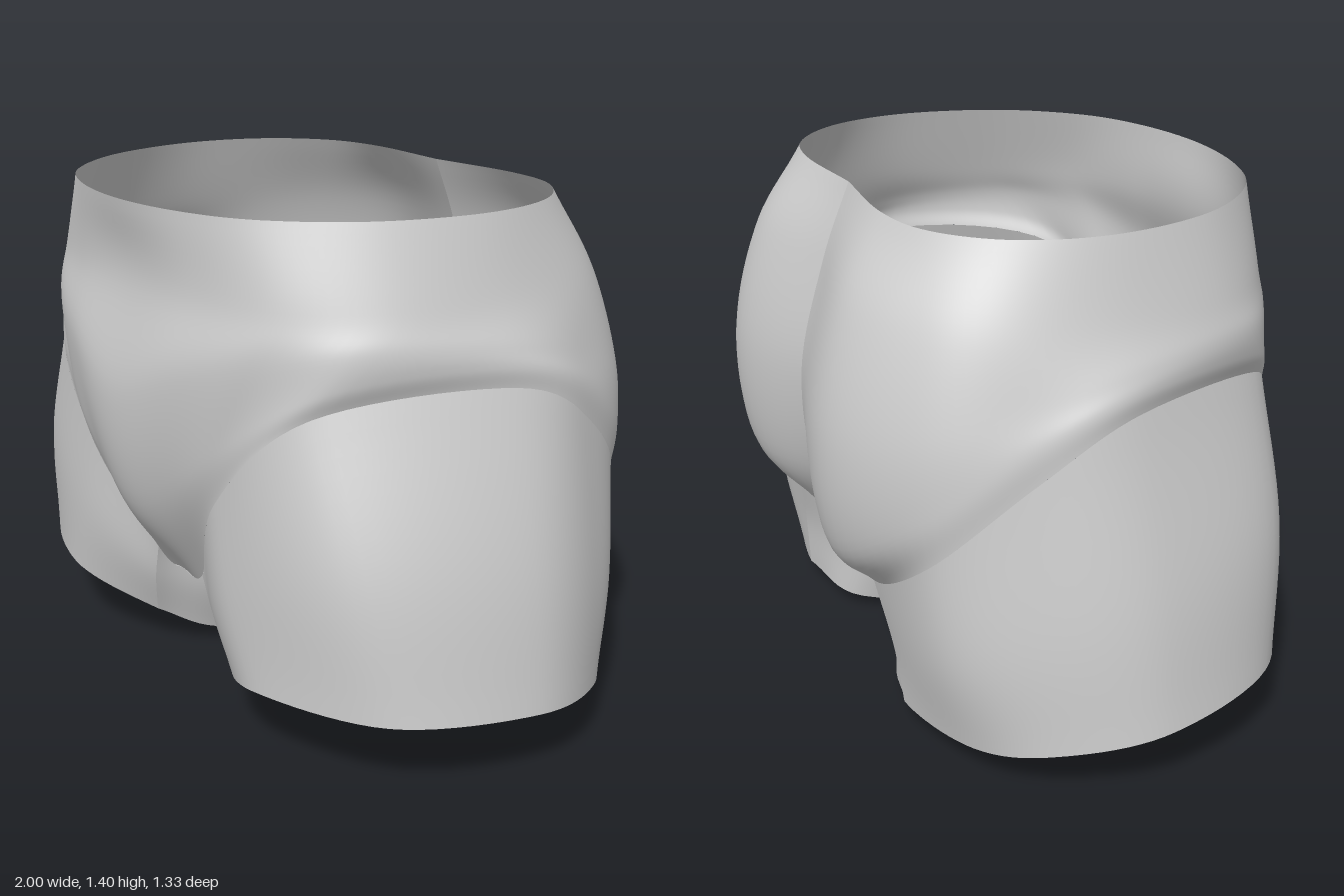
import * as THREE from 'three';

const grey = new THREE.MeshStandardMaterial({ color: 0xcccccc, side: THREE.DoubleSide });
grey.name = 'plain grey';

const spline = (pts) => new THREE.CatmullRomCurve3(pts, false, 'catmullrom', 0.5);
const toPoints = (row) => row.map((p) => new THREE.Vector3(...p));
const mirrorRow = (row) => row.map(([x, y, z]) => [-x, y, z]).reverse();

// Smooth sheet through rows of section points, sampled from u0 to u1 along each row
function loft(name, rows, nu, nv, u0 = 0, u1 = 1) {
  const curves = rows.map((r) => spline(toPoints(r)));
  const pos = [], index = [];
  for (let j = 0; j <= nu; j++) {
    const u = u0 + ((u1 - u0) * j) / nu;
    const column = spline(curves.map((c) => c.getPoint(u)));
    for (let i = 0; i <= nv; i++) pos.push(...column.getPoint(i / nv).toArray());
  }
  for (let j = 0; j < nu; j++) {
    for (let i = 0; i < nv; i++) {
      const a = j * (nv + 1) + i, b = a + 1, c = a + nv + 1, d = c + 1;
      index.push(a, b, c, c, b, d);
    }
  }
  const geo = new THREE.BufferGeometry();
  geo.setAttribute('position', new THREE.Float32BufferAttribute(pos, 3));
  geo.setIndex(index);
  geo.computeVertexNormals();
  const mesh = new THREE.Mesh(geo, grey);
  mesh.name = name;
  return mesh;
}

export function createModel() {
  const model = new THREE.Group();
  model.name = 'hipsAndThighs';

  // Half sections, each from the front midline around the side to the back midline
  const waist = [[0, 0.625], [0.25, 0.59], [0.46, 0.49], [0.63, 0.28], [0.7, 0], [0.65, -0.24],
    [0.5, -0.4], [0.3, -0.45], [0, -0.43]].map(([x, z]) => [x, 1.405, z]);
  const upperHip = [[0, 0.6], [0.28, 0.585], [0.53, 0.5], [0.7, 0.3], [0.765, 0], [0.725, -0.29],
    [0.6, -0.47], [0.36, -0.58], [0, -0.51]].map(([x, z]) => [x, 1.2, z]);
  const hip = [[0, 0.9, 0.665], [0.25, 0.98, 0.635], [0.49, 1.06, 0.55], [0.7, 1.11, 0.37], [0.815, 1.1, 0],
    [0.785, 1.03, -0.28], [0.67, 0.95, -0.51], [0.39, 0.88, -0.66], [0, 0.9, -0.585]];
  const lowerHip = [[0, 0.58, 0.62], [0.16, 0.64, 0.605], [0.38, 0.82, 0.58], [0.66, 1.02, 0.435], [0.832, 1.05, 0],
    [0.815, 0.94, -0.28], [0.69, 0.75, -0.51], [0.38, 0.56, -0.635], [0, 0.6, -0.56]];
  const seam = [[0, 0.34, 0.46], [0.12, 0.365, 0.47], [0.34, 0.67, 0.56], [0.62, 0.95, 0.465], [0.828, 1, 0],
    [0.822, 0.86, -0.27], [0.68, 0.62, -0.49], [0.32, 0.4, -0.51], [0, 0.39, -0.44]];

  // Pelvis shell, open at the waist, pointed at the front and cleft at the back
  const pelvisRows = [waist, upperHip, hip, lowerHip, seam]
    .map((r) => [...mirrorRow(r).slice(0, -1), ...r]);
  model.add(loft('pelvis', pelvisRows, 128, 32));

  // Thigh sections below the seam
  const midThigh = [[0.08, 0.2, 0.36], [0.16, 0.25, 0.46], [0.4, 0.43, 0.565], [0.77, 0.58, 0.455], [0.945, 0.56, 0.02],
    [0.88, 0.45, -0.28], [0.715, 0.34, -0.46], [0.39, 0.23, -0.485], [0.15, 0.22, -0.4]];
  const hem = [[0.13, 0.05, 0.28], [0.21, 0.12, 0.43], [0.49, 0.205, 0.555], [0.86, 0.22, 0.4], [1, 0.2, 0.03],
    [0.91, 0.15, -0.25], [0.73, 0.1, -0.4], [0.42, 0.065, -0.47], [0.2, 0.05, -0.41]];
  const thighRows = [seam, midThigh, hem];

  // Inner thigh sections, from back to front
  const crotchEdge = [seam[7], [0.13, 0.36, -0.36], [0.07, 0.34, 0], [0.075, 0.34, 0.29], seam[1]];
  const innerMid = [midThigh[7], [0.14, 0.2, -0.35], [0.085, 0.18, 0], [0.085, 0.2, 0.29], midThigh[1]];
  const innerHem = [hem[7], [0.19, 0.04, -0.38], [0.12, 0, 0], [0.13, 0.05, 0.28], hem[1]];
  const innerRows = [crotchEdge, innerMid, innerHem];

  for (const side of ['left', 'right']) {
    const place = side === 'left' ? (r) => r : mirrorRow;
    const thigh = new THREE.Group();
    thigh.name = side + 'Thigh';
    thigh.add(loft(side + 'OuterThigh', thighRows.map(place), 60, 16, 1 / 8, 7 / 8));
    thigh.add(loft(side + 'InnerThigh', innerRows.map(place), 32, 16));
    model.add(thigh);
  }

  // Narrow strip between the thighs, its ends following the pelvis edge
  const pelvisEdge = spline(toPoints(pelvisRows[4]));
  const crotchMiddle = [[0, 0.365, -0.32], [0, 0.345, 0], [0, 0.335, 0.27]];
  const stripRows = [-1, -0.5, 0, 0.5, 1].map((s) => {
    const t = Math.abs(s);
    const inner = crotchMiddle.map((m, i) => {
      const [x, y, z] = crotchEdge[i + 1];
      return [x * s, m[1] + (y - m[1]) * t, m[2] + (z - m[2]) * t];
    });
    const back = pelvisEdge.getPoint(s > 0 ? 1 - s / 16 : t / 16);
    const front = pelvisEdge.getPoint((8 + s) / 16);
    return [back.toArray(), ...inner, front.toArray()];
  });
  model.add(loft('crotch', stripRows, 32, 16));

  return model;
}
